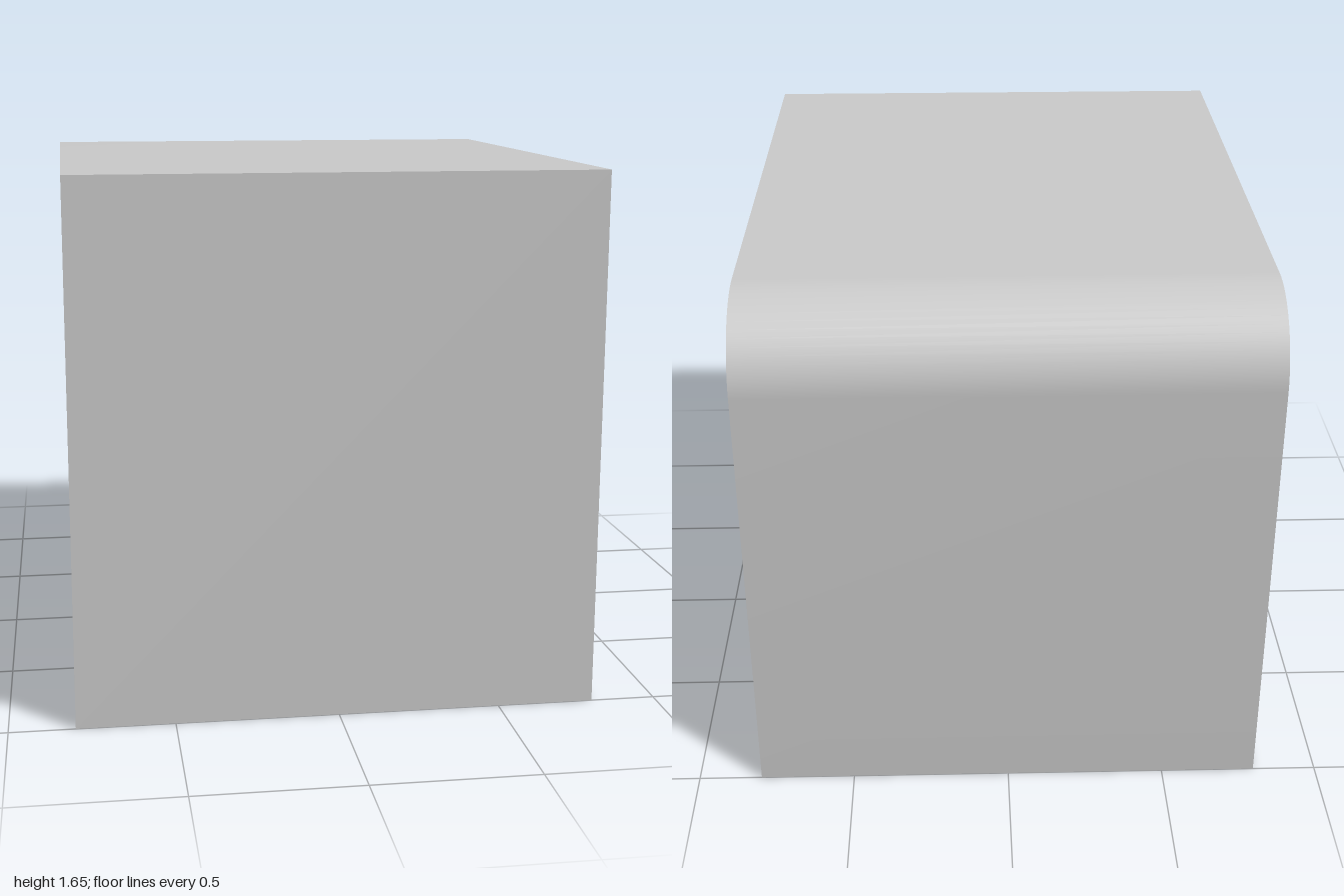
import * as THREE from 'three';
import { toCreasedNormals } from 'three/addons/utils/BufferGeometryUtils.js';

const grey = new THREE.MeshStandardMaterial({ color: 0xcccccc });
const dark = new THREE.MeshStandardMaterial({ color: 0x363636 });
const red = new THREE.MeshStandardMaterial({ color: 0xb05252 });

function part(name, geometry, material) {
  const mesh = new THREE.Mesh(geometry, material);
  mesh.name = name;
  return mesh;
}

function extrude(shape, depth, curveSegments) {
  const g = new THREE.ExtrudeGeometry(shape, { depth, curveSegments, bevelEnabled: false });
  return toCreasedNormals(g, Math.PI / 5);
}

// Side outline of the shell, rounded at the upper back corner
function outline(path, back, bottom, top, radius) {
  path.moveTo(-back, bottom);
  path.lineTo(back, bottom);
  path.lineTo(back, top - radius);
  path.absarc(back - radius, top - radius, radius, 0, Math.PI / 2, false);
  path.lineTo(-back, top);
  path.closePath();
  return path;
}

// Slab with a half-round front end, running from the back wall
function roundedSlab(halfWidth, bottom, top) {
  const s = new THREE.Shape();
  s.moveTo(-halfWidth, -0.96);
  s.lineTo(halfWidth, -0.96);
  s.lineTo(halfWidth, 0.2);
  s.absarc(0, 0.2, halfWidth, 0, Math.PI, false);
  s.closePath();
  return extrude(s, top - bottom, 16).rotateX(Math.PI / 2).translate(0, top, 0);
}

function makeStool() {
  const stool = new THREE.Group();
  stool.name = 'stool';
  const disc = (name, rTop, rBottom, y0, y1) => stool.add(
    part(name, new THREE.CylinderGeometry(rTop, rBottom, y1 - y0, 14).translate(0, (y0 + y1) / 2, 0), red));
  disc('stoolBase', 0.08, 0.09, 0.04, 0.062);
  disc('stoolColumn', 0.021, 0.021, 0.06, 0.325);
  disc('stoolSeat', 0.12, 0.115, 0.318, 0.34);
  return stool;
}

export function createModel() {
  const model = new THREE.Group();
  model.name = 'counterBooth';

  // Shell open at both sides
  const shell = outline(new THREE.Shape(), 1, 0, 1.65, 0.26);
  shell.holes.push(outline(new THREE.Path(), 0.96, 0.04, 1.61, 0.22));
  model.add(part('shell', extrude(shell, 1.6, 8).rotateY(Math.PI / 2).translate(-0.8, 0, 0), grey));

  // Counter
  model.add(part('counterBody', roundedSlab(0.225, 0.04, 0.556), dark));
  model.add(part('counterTop', roundedSlab(0.24, 0.556, 0.586), grey));

  // Row of stools along the left side of the counter
  for (const z of [0.08, -0.32, -0.72]) {
    const stool = makeStool();
    stool.position.set(0.49, 0, z);
    model.add(stool);
  }
  return model;
}
